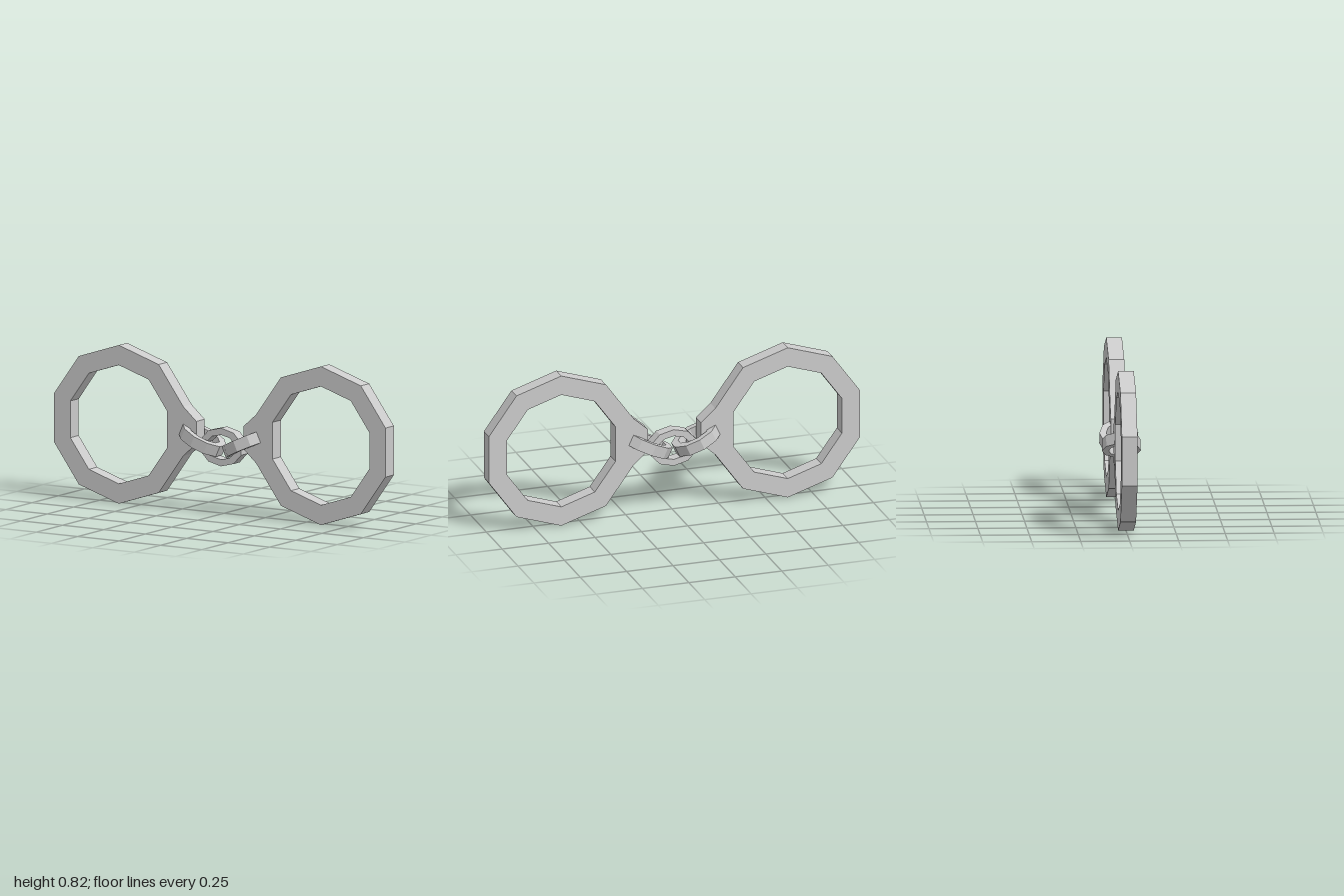
import * as THREE from 'three';

const material = new THREE.MeshStandardMaterial({ color: 0xcccccc, flatShading: true });

// Ten points of an ellipse, starting at the top and running counter-clockwise
function decagon(rx, ry) {
  return Array.from({ length: 10 }, (_, i) => {
    const a = Math.PI / 2 + (i * Math.PI) / 5;
    return new THREE.Vector2(rx * Math.cos(a), ry * Math.sin(a));
  });
}

// Flat slab with a hole, centred on z = 0
function slab(name, outline, hole, depth) {
  const shape = new THREE.Shape(outline);
  shape.holes.push(new THREE.Path(hole.reverse()));
  const geometry = new THREE.ExtrudeGeometry(shape, { depth, bevelEnabled: false });
  geometry.translate(0, 0, -depth / 2);
  const mesh = new THREE.Mesh(geometry, material);
  mesh.name = name;
  return mesh;
}

function chainLink(name) {
  return slab(name, decagon(0.129, 0.099), decagon(0.09, 0.064), 0.06);
}

export function createModel() {
  const model = new THREE.Group();
  model.name = 'handcuffs';

  for (const side of [1, -1]) {
    const label = side > 0 ? 'left' : 'right';

    // Ten-sided cuff with a tapered tab pointing at the chain
    const outline = decagon(0.41, 0.41);
    outline.splice(3, 0, new THREE.Vector2(-0.468, 0.058), new THREE.Vector2(-0.468, -0.058));
    const cuff = slab(label + 'Cuff', outline, decagon(0.307, 0.307), 0.08);
    cuff.position.set(side * 0.61, 0.41, 0);
    if (side < 0) cuff.rotation.y = Math.PI;
    model.add(cuff);

    // Link lying flat through the tab, sagging toward the middle
    const link = chainLink(label + 'Link');
    link.geometry.rotateX(Math.PI / 2);
    link.rotation.z = side * 0.43;
    link.position.set(side * 0.13, 0.372, 0);
    model.add(link);
  }

  // Upright link joining the two sides
  const middle = chainLink('middleLink');
  middle.position.y = 0.346;
  model.add(middle);

  return model;
}
